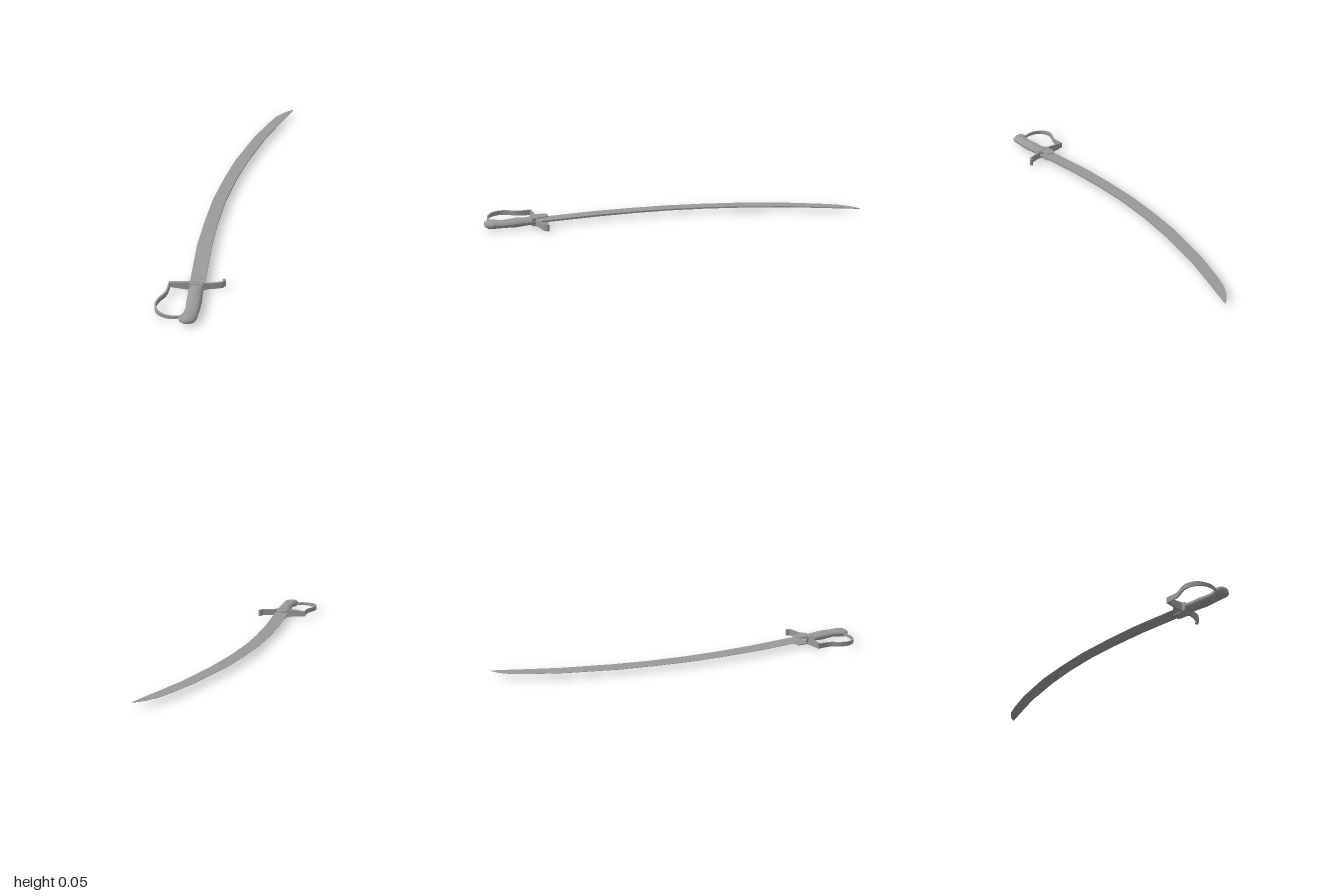
import * as THREE from 'three';
import { toCreasedNormals } from 'three/addons/utils/BufferGeometryUtils.js';

const MID = 0.026; // height of the sword's flat centre plane
const material = new THREE.MeshStandardMaterial({ color: 0x9a9a9a, side: THREE.DoubleSide });

// Skin a list of equal-length rings (counter-clockwise about the direction of travel), capped at both ends
function loft(rings, crease) {
  const n = rings[0].length, index = [], last = (rings.length - 1) * n;
  for (let i = 0; i < rings.length - 1; i++) {
    for (let j = 0; j < n; j++) {
      const k = (j + 1) % n, a = i * n + j, b = i * n + k;
      index.push(a, b, b + n, a, b + n, a + n);
    }
  }
  for (let j = 1; j < n - 1; j++) index.push(0, j + 1, j, last, last + j, last + j + 1);
  const g = new THREE.BufferGeometry();
  g.setAttribute('position', new THREE.Float32BufferAttribute(rings.flat(2), 3));
  g.setIndex(index);
  return toCreasedNormals(g, crease);
}

// Flat band following a path in plan; each point is [x, z, half height]
function band(points, thickness, steps) {
  const curve = new THREE.CatmullRomCurve3(points.map(([x, z, h]) => new THREE.Vector3(x, h, z)), false, 'centripetal');
  const rings = [];
  for (let i = 0; i <= steps; i++) {
    const p = curve.getPoint(i / steps), t = curve.getTangent(i / steps).setY(0).normalize();
    const nx = t.z * thickness / 2, nz = -t.x * thickness / 2;
    rings.push([[1, 1], [-1, 1], [-1, -1], [1, -1]].map(([s, v]) => [p.x + s * nx, MID + v * p.y, p.z + s * nz]));
  }
  return loft(rings, 0.6);
}

// Grip sections: z, centre x, half width, half height
const gripPath = [
  [0.725, -0.108, 0.034, 0.017], [0.78, -0.108, 0.035, 0.019], [0.84, -0.107, 0.037, 0.022],
  [0.9, -0.107, 0.034, 0.019], [0.935, -0.113, 0.035, 0.02], [0.962, -0.121, 0.042, 0.022],
  [0.983, -0.124, 0.037, 0.019], [0.995, -0.127, 0.022, 0.012], [0.999, -0.128, 0.006, 0.004],
];
// Backstrap coverage: z, half wrap angle around the spine side
const wrapPath = [
  [0.78, 0.9], [0.8, 1.3], [0.815, 2], [0.83, 2.2], [0.845, 2.1], [0.87, 1.5], [0.9, 1.2], [0.93, 1.6], [0.95, 2.4], [0.962, 3.14], [0.983, 3.14],
];

// Linear lookup in a table keyed by z
function sample(table, z) {
  let i = 0;
  while (i < table.length - 2 && z > table[i + 1][0]) i++;
  const a = table[i], b = table[i + 1], t = (z - a[0]) / (b[0] - a[0]);
  return a.map((v, k) => v + (b[k] - v) * t);
}
function gripPoint(z, angle, scale) {
  const [, cx, rx, ry] = sample(gripPath, z);
  return [cx + rx * scale * Math.cos(angle), MID + ry * scale * Math.sin(angle), z];
}
const ellipse = (z, scale) =>
  Array.from({ length: 32 }, (_, j) => gripPoint(z, j / 32 * Math.PI * 2, scale));

export function createModel() {
  const sword = new THREE.Group();
  sword.name = 'sabre';
  const add = (name, geometry) => {
    const mesh = new THREE.Mesh(geometry, material);
    mesh.name = name;
    sword.add(mesh);
    return mesh;
  };

  // Curved wedge blade: z, edge x, spine x, spine half thickness
  const bladePath = [
    [-1, 0.283, 0.286, 0.0012], [-0.985, 0.258, 0.279, 0.0018], [-0.96, 0.228, 0.268, 0.002], [-0.91, 0.185, 0.246, 0.0024],
    [-0.82, 0.138, 0.206, 0.0028], [-0.66, 0.067, 0.138, 0.0033], [-0.4, -0.022, 0.053, 0.0038],
    [-0.2, -0.07, 0.002, 0.004], [0, -0.108, -0.035, 0.0044], [0.19, -0.129, -0.056, 0.0047],
    [0.4, -0.145, -0.068, 0.005], [0.72, -0.145, -0.069, 0.005],
  ];
  const bladeY = MID + 0.001;
  add('blade', loft(bladePath.map(([z, l, r, s]) =>
    [[r, bladeY + s, z], [l, bladeY + 0.0008, z], [l, bladeY - 0.0008, z], [r, bladeY - s, z]]), 0.3));

  // Grip and pommel
  add('grip', loft(gripPath.map(([z]) => ellipse(z, 1)), 1));

  // Ferrule below the guard
  add('ferrule', loft([[0.75, 0.98], [0.752, 1.06], [0.778, 1.06], [0.78, 0.98]].map(([z, s]) => ellipse(z, s)), 0.6));

  // Backstrap with ears at mid grip, widening into the pommel cap
  const strap = Array.from({ length: 59 }, (_, i) => {
    const z = 0.78 + i * 0.0035, a = sample(wrapPath, z)[1];
    const arc = Array.from({ length: 33 }, (_, j) => a * (j / 16 - 1));
    return [...arc.map(t => gripPoint(z, t, 1.05)), ...arc.reverse().map(t => gripPoint(z, t, 0.92))];
  });
  add('backstrap', loft(strap, 0.7));

  // Cross guard sweeping into the forward quillon
  add('crossGuard', band([
    [-0.245, 0.727, 0.015], [-0.2, 0.728, 0.019], [-0.145, 0.729, 0.024], [-0.11, 0.729, 0.026],
    [-0.075, 0.728, 0.023], [-0.05, 0.722, 0.018], [-0.01, 0.714, 0.018], [0.017, 0.705, 0.018], [0.025, 0.693, 0.018],
  ], 0.009, 40));
  const knob = add('quillonCurl', new THREE.CylinderGeometry(0.009, 0.009, 0.036, 16));
  knob.position.set(0.024, MID, 0.691);

  // Knuckle bow from the guard back to the pommel
  add('knuckleBow', band([
    [-0.242, 0.724, 0.015], [-0.244, 0.76, 0.014], [-0.25, 0.8, 0.013], [-0.277, 0.85, 0.0125], [-0.287, 0.89, 0.012],
    [-0.272, 0.935, 0.011], [-0.235, 0.96, 0.009], [-0.195, 0.966, 0.008], [-0.145, 0.957, 0.006],
  ], 0.008, 48));

  // Guard block and the pair of rounded langets over the blade root
  const block = add('guardBlock', new THREE.BoxGeometry(0.066, 0.036, 0.036));
  block.position.set(-0.109, MID, 0.735);
  const outline = new THREE.Shape();
  outline.moveTo(-0.03, -0.085);
  outline.lineTo(0.03, -0.085);
  outline.lineTo(0.027, -0.018);
  outline.quadraticCurveTo(0.024, 0, 0, 0);
  outline.quadraticCurveTo(-0.024, 0, -0.027, -0.018);
  outline.closePath();
  for (const [name, y] of [['topLanget', 0.044], ['bottomLanget', 0.003]]) {
    const langet = add(name, new THREE.ExtrudeGeometry(outline, { depth: 0.005, bevelEnabled: false, curveSegments: 8 }));
    langet.rotation.x = -Math.PI / 2;
    langet.position.set(-0.109, y, 0.66);
  }
  return sword;
}
